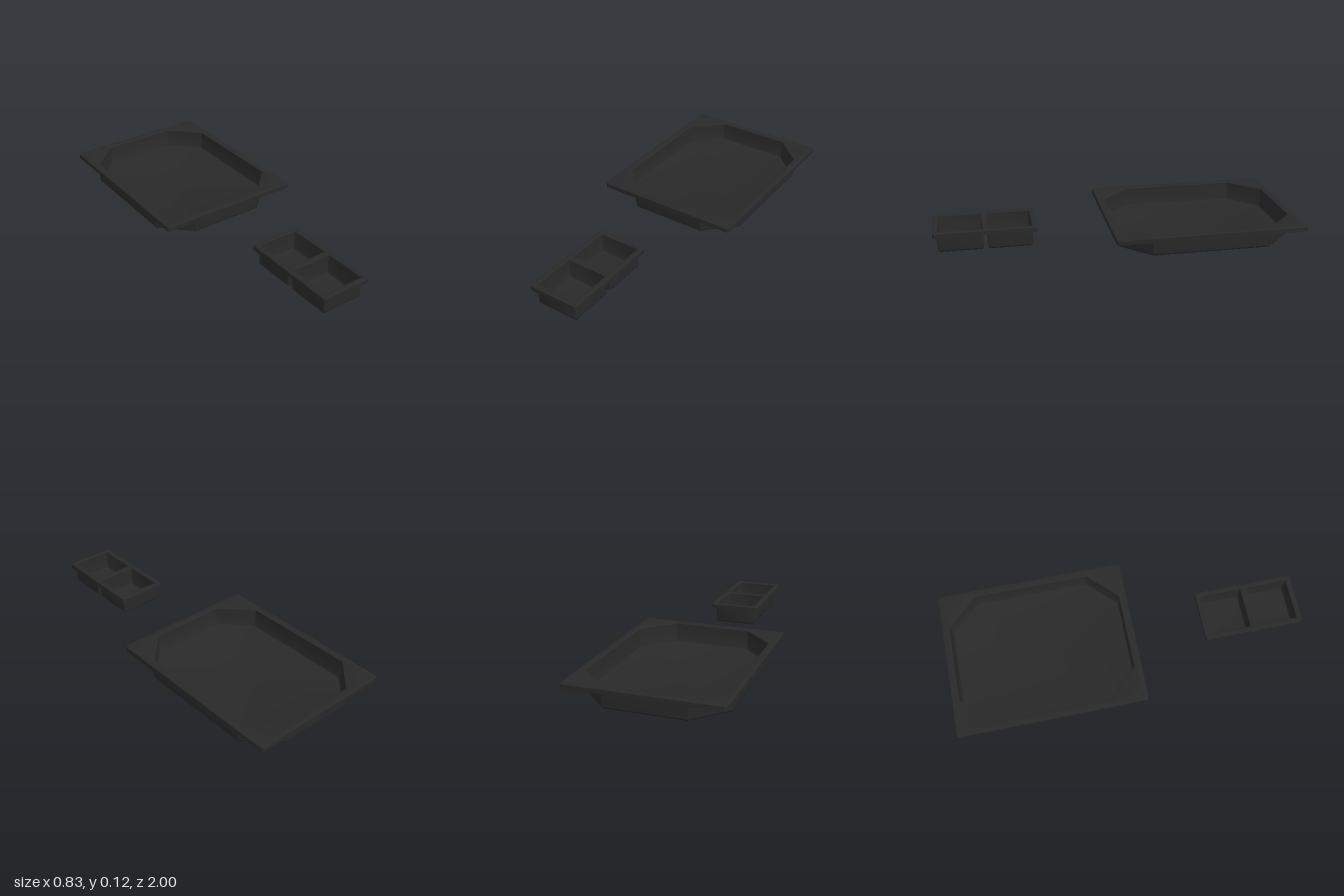
import * as THREE from 'three';
import { mergeGeometries, toCreasedNormals } from 'three/addons/utils/BufferGeometryUtils.js';

const TOP = 0.12, LIP = 0.093;

// Rectangle outline inset by d; corners are chamfered (k = 1) or rounded (k > 1)
function outline(hx, hz, c, k, d = 0, cz = 0) {
  const r = Math.max(c - d * (k === 1 ? 0.586 : 1), 0.001);
  const pts = [];
  [[1, 1], [-1, 1], [-1, -1], [1, -1]].forEach(([sx, sz], q) => {
    for (let i = 0; i <= k; i++) {
      const a = (q + i / k) * Math.PI / 2;
      pts.push(new THREE.Vector2(
        sx * (hx - d - r) + r * Math.cos(a),
        cz + sz * (hz - d - r) + r * Math.sin(a)));
    }
  });
  return pts;
}

// Skin through [inset, height] rings; a null inset closes to the centre
function loft(hx, hz, c, k, cz, profile) {
  const n = 4 * (k + 1), pos = [], idx = [];
  for (const [d, y] of profile) {
    const ring = d === null ? Array(n).fill(new THREE.Vector2(0, cz)) : outline(hx, hz, c, k, d, cz);
    ring.forEach(p => pos.push(p.x, y, p.y));
  }
  for (let i = 0; i < profile.length - 1; i++) {
    for (let j = 0; j < n; j++) {
      const a = i * n + j, b = i * n + (j + 1) % n;
      if (profile[i][0] !== null) idx.push(a, b, a + n);
      if (profile[i + 1][0] !== null) idx.push(b, b + n, a + n);
    }
  }
  const g = new THREE.BufferGeometry();
  g.setAttribute('position', new THREE.Float32BufferAttribute(pos, 3));
  g.setIndex(idx);
  return toCreasedNormals(g, 0.6);
}

// Thin-walled cup: outside with rounded foot, inside with rounded floor edge
function cup(hx, hz, c, k, cz) {
  const outer = [[0, 0.114], [0.003, 0.014]], inner = [[null, 0.009]];
  for (let i = 1; i <= 4; i++) {
    const a = i / 4 * Math.PI / 2;
    outer.push([0.003 + 0.012 * (1 - Math.cos(a)), 0.014 - 0.014 * Math.sin(a)]);
  }
  outer.push([null, 0]);
  for (let i = 0; i <= 4; i++) {
    const a = i / 4 * Math.PI / 2;
    inner.push([0.009 + 0.01 * (1 - Math.sin(a)), 0.019 - 0.01 * Math.cos(a)]);
  }
  inner.push([0.007, 0.116]);
  return mergeGeometries([loft(hx, hz, c, k, cz, outer), loft(hx, hz, c, k, cz, inner)]);
}

// Flat extrusion standing from y0 to y1, with optional softened edges
function slab(points, holes, y0, y1, bevel) {
  const shape = new THREE.Shape(points);
  holes.forEach(h => shape.holes.push(new THREE.Path(h)));
  const g = new THREE.ExtrudeGeometry(shape, {
    depth: y1 - y0 - 2 * bevel, bevelEnabled: bevel > 0, bevelThickness: bevel,
    bevelSize: bevel, bevelOffset: -bevel, bevelSegments: 3 });
  g.rotateX(-Math.PI / 2).translate(0, y0 + bevel, 0);
  return toCreasedNormals(g, 0.6);
}

function tray(name, material, hx, hz, cups, pips) {
  const group = new THREE.Group();
  group.name = name;
  const add = (part, geometry) => {
    const m = new THREE.Mesh(geometry, material);
    m.name = part;
    group.add(m);
    return m;
  };
  // Rim plate and its turned-down lip
  const edge = () => outline(hx, hz, 0.016, 5);
  const holes = cups.map(([x, z, c, k, cz]) => outline(x, z, c, k, 0.007, cz));
  add('rim', slab(edge(), holes, 0.106, TOP, 0.004));
  add('rimLip', slab(edge(), [outline(hx, hz, 0.016, 5, 0.008)], LIP, 0.114, 0));
  // Basins
  cups.forEach(([x, z, c, k, cz]) => add('basin', cup(x, z, c, k, cz)));
  // Low stacking pips on the rim
  const dome = new THREE.SphereGeometry(0.012, 16, 6, 0, Math.PI * 2, 0, Math.PI / 2).scale(1, 0.2, 1);
  pips.forEach(([x, z]) => add('stackingPip', dome).position.set(x, TOP, z));
  return group;
}

export function createModel() {
  const model = new THREE.Group();
  model.name = 'trays';
  const black = new THREE.MeshStandardMaterial({ color: 0x292929 });
  black.name = 'blackPlastic';

  // Large tray with an eight-sided basin
  const large = tray('largeTray', black, 0.415, 0.5275, [[0.381, 0.4925, 0.165, 1, 0]],
    [[-0.392, -0.505], [0.392, -0.505], [-0.392, 0.505], [0.392, 0.505],
      [-0.396, 0], [0.396, 0], [0, -0.508], [0, 0.508]]);
  large.position.z = -0.4725;

  // Small tray with two square cups
  const small = tray('smallTray', black, 0.145, 0.28,
    [-1, 1].map(s => [0.123, 0.124, 0.012, 4, s * 0.134]),
    [[-0.128, -0.263], [0.128, -0.263], [-0.128, 0.263], [0.128, 0.263], [-0.129, 0], [0.129, 0]]);
  small.position.z = 0.72;

  model.add(large, small);
  return model;
}
